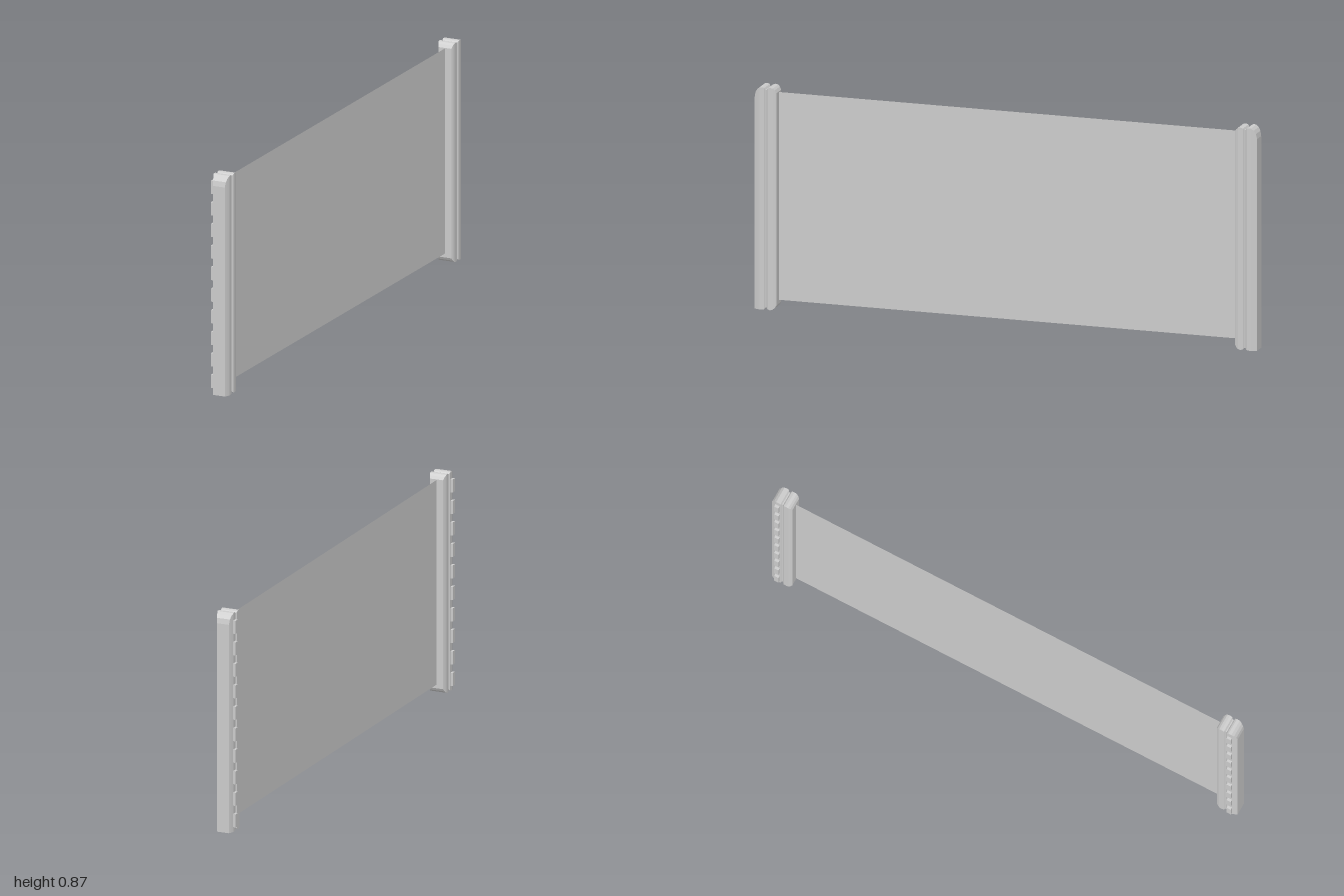
import * as THREE from 'three';

const CX = 0.0035; // centre line of the posts and panel

// Post slices from the outer face inward: z, half width, bottom, top
const SLICES = [
  [1.0, 0.0245, 0, 0.825], [0.996, 0.0265, 0, 0.845], [0.988, 0.03, 0, 0.858],
  [0.978, 0.0335, 0, 0.866], [0.966, 0.0335, 0, 0.867], [0.96, 0.0335, 0.002, 0.864],
  [0.955, 0.028, 0.008, 0.857], [0.951, 0.028, 0.008, 0.857],
  [0.946, 0.0335, 0.003, 0.864], [0.936, 0.0335, 0, 0.867], [0.926, 0.0335, 0.003, 0.865],
  [0.918, 0.0305, 0.01, 0.858], [0.912, 0.027, 0.02, 0.847],
];

// Loft of rectangles along z; side is +1 (front) or -1 (back)
function postGeometry(side) {
  const pos = [];
  const ring = ([z, w, y0, y1]) => [
    [CX - w, y0, z * side], [CX + w, y0, z * side],
    [CX + w, y1, z * side], [CX - w, y1, z * side],
  ];
  const quad = (a, b, c, d) => {
    const order = side > 0 ? [a, b, c, a, c, d] : [a, c, b, a, d, c];
    order.forEach((p) => pos.push(...p));
  };
  const rings = SLICES.map(ring);
  quad(...rings[0]);
  for (let i = 0; i < rings.length - 1; i++) {
    const a = rings[i], b = rings[i + 1];
    for (let k = 0; k < 4; k++) {
      const n = (k + 1) % 4;
      quad(a[k], b[k], b[n], a[n]);
    }
  }
  quad(...rings[rings.length - 1].slice().reverse());
  const geo = new THREE.BufferGeometry();
  geo.setAttribute('position', new THREE.Float32BufferAttribute(pos, 3));
  geo.computeVertexNormals();
  return geo;
}

export function createModel() {
  const model = new THREE.Group();
  model.name = 'barrier';
  const grey = new THREE.MeshStandardMaterial({ color: 0xcccccc, flatShading: true });
  const thin = new THREE.MeshStandardMaterial({ color: 0xcccccc, side: THREE.DoubleSide });

  // Thin screen between the posts
  const panel = new THREE.Mesh(new THREE.PlaneGeometry(1.83, 0.81), thin);
  panel.name = 'panel';
  panel.rotation.y = Math.PI / 2;
  panel.position.set(CX, 0.44, 0);
  model.add(panel);

  const studGeo = new THREE.BoxGeometry(0.014, 0.052, 0.018);
  for (const side of [1, -1]) {
    const name = side > 0 ? 'front' : 'back';
    const group = new THREE.Group();
    group.name = name + 'PostAssembly';
    const post = new THREE.Mesh(postGeometry(side), grey);
    post.name = name + 'Post';
    group.add(post);

    // Row of raised studs on the right face
    for (let i = 0; i < 10; i++) {
      const stud = new THREE.Mesh(studGeo, grey);
      stud.name = `${name}Stud${i + 1}`;
      stud.position.set(-0.033, 0.046 + i * 0.0851, side * 0.972);
      group.add(stud);
    }
    model.add(group);
  }
  return model;
}
